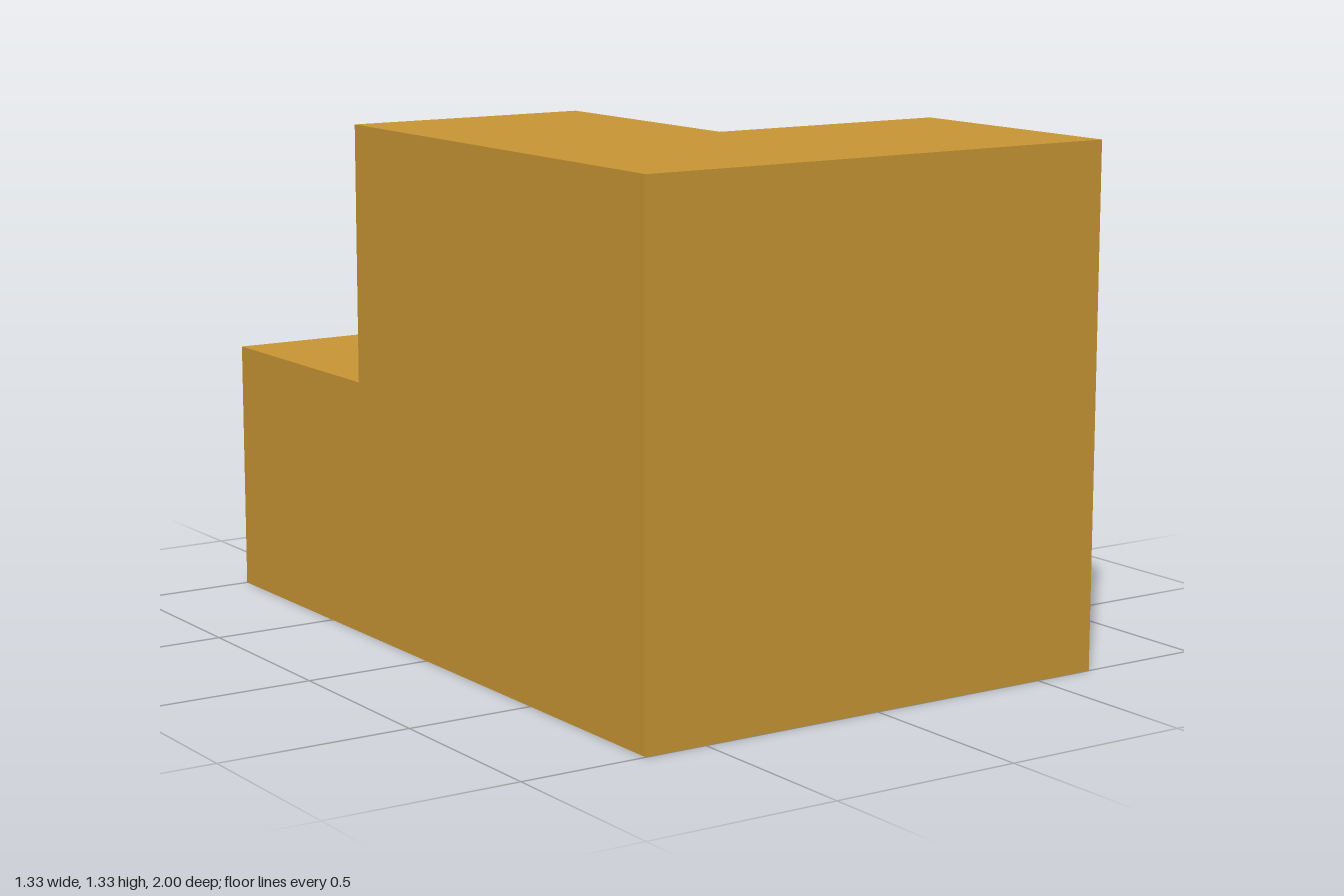
import * as THREE from 'three';
import { mergeGeometries } from 'three/addons/utils/BufferGeometryUtils.js';

const UNIT = 2 / 3; // edge of one cube cell

// The block fills a 2 x 2 x 3 lattice: a full lower layer and an L-shaped upper layer
function isFilled(x, y, z) {
  if (x < 0 || x > 1 || y < 0 || y > 1 || z < 0 || z > 2) return false;
  return y === 0 || z === 2 || (x === 0 && z === 1);
}

// Outward directions of a cell's six faces
const DIRECTIONS = [[1, 0, 0], [-1, 0, 0], [0, 1, 0], [0, -1, 0], [0, 0, 1], [0, 0, -1]];

// One square on the side of a cell, facing outward
function cellFace(x, y, z, direction) {
  const normal = new THREE.Vector3(...direction);
  const turn = new THREE.Quaternion().setFromUnitVectors(new THREE.Vector3(0, 0, 1), normal);
  const centre = new THREE.Vector3(x - 0.5, y + 0.5, z - 1).addScaledVector(normal, 0.5);
  return new THREE.PlaneGeometry(UNIT, UNIT)
    .applyQuaternion(turn)
    .translate(centre.x * UNIT, centre.y * UNIT, centre.z * UNIT);
}

export function createModel() {
  const ochre = new THREE.MeshStandardMaterial({ color: 0xc89634 });
  ochre.name = 'ochre';

  // Keep only the faces that border empty space, giving one closed solid
  const faces = [];
  for (let x = 0; x < 2; x++)
    for (let y = 0; y < 2; y++)
      for (let z = 0; z < 3; z++) {
        if (!isFilled(x, y, z)) continue;
        for (const d of DIRECTIONS)
          if (!isFilled(x + d[0], y + d[1], z + d[2])) faces.push(cellFace(x, y, z, d));
      }

  const block = new THREE.Mesh(mergeGeometries(faces), ochre);
  block.name = 'steppedBlock';

  const model = new THREE.Group();
  model.name = 'steppedBlockModel';
  model.add(block);
  return model;
}
